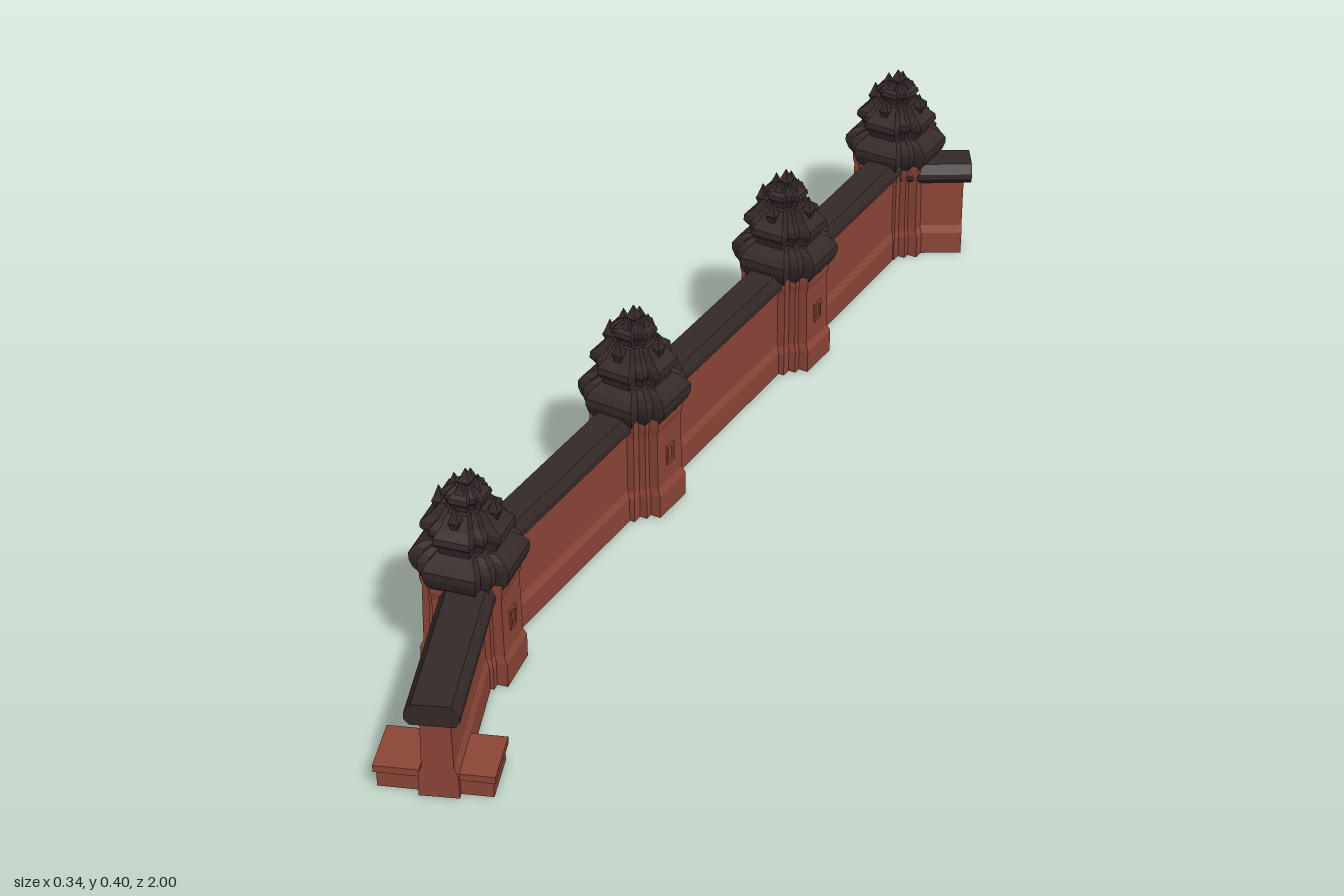
import * as THREE from 'three';

const brick = new THREE.MeshStandardMaterial({ color: 0x8c4537 });
brick.name = 'red brick';
const tile = new THREE.MeshStandardMaterial({ color: 0x352929 });
tile.name = 'dark roof tile';

function add(parent, name, geometry, material, x = 0, y = 0, z = 0) {
  const mesh = new THREE.Mesh(geometry, material);
  mesh.name = name;
  mesh.position.set(x, y, z);
  parent.add(mesh);
  return mesh;
}

// Stepped cross outline: arm reach a, arm half-width w, core half-width c
function crossPlan(a, w, c) {
  const quarter = [[a, w], [c, w], [c, c], [w, c], [w, a]];
  const pts = [];
  for (let q = 0; q < 4; q++) {
    for (const [x, z] of quarter) {
      pts.push([[x, z], [-z, x], [-x, -z], [z, -x]][q]);
    }
  }
  return pts;
}

// Stack of scaled outlines; levels are [y, scale]
function loft(plan, levels) {
  const v = [];
  const n = plan.length;
  const at = (i, [y, s]) => [plan[i % n][0] * s, y, plan[i % n][1] * s];
  const first = levels[0], last = levels[levels.length - 1];
  for (let i = 0; i < n; i++) {
    for (let k = 0; k < levels.length - 1; k++) {
      const a = at(i, levels[k]), b = at(i + 1, levels[k]);
      const c = at(i, levels[k + 1]), d = at(i + 1, levels[k + 1]);
      v.push(...a, ...c, ...b, ...b, ...c, ...d);
    }
    v.push(0, first[0], 0, ...at(i, first), ...at(i + 1, first));
    v.push(0, last[0], 0, ...at(i + 1, last), ...at(i, last));
  }
  const g = new THREE.BufferGeometry();
  g.setAttribute('position', new THREE.Float32BufferAttribute(v, 3));
  g.computeVertexNormals();
  return g;
}

// Symmetric profile of [half-width, y], run along z
function run(profile, length) {
  const right = profile.map(([x, y]) => new THREE.Vector2(x, y));
  const left = profile.map(([x, y]) => new THREE.Vector2(-x, y)).reverse();
  return new THREE.ExtrudeGeometry(new THREE.Shape([...right, ...left]),
    { depth: length, bevelEnabled: false });
}

// Wall with a flared foot and a tiled coping, from one plan point to another
function makeWall(name, [x0, z0], [x1, z1], top, roofHalf, overhang) {
  const wall = new THREE.Group();
  wall.name = name;
  const length = Math.hypot(x1 - x0, z1 - z0);
  wall.position.set(x0, 0, z0);
  wall.rotation.y = Math.atan2(x1 - x0, z1 - z0);
  add(wall, 'wallBody', run([[0.033, 0], [0.032, 0.045], [0.026, 0.06],
    [0.024, top - 0.02]], length), brick);
  add(wall, 'wallCoping', run([[roofHalf - 0.008, top - 0.04], [roofHalf, top - 0.03],
    [roofHalf, top - 0.018], [roofHalf * 0.72, top]], length + overhang), tile);
  return wall;
}

// Pointed roof ornament with a bulging foot
function spike(parent, x, y, z, r, h) {
  const square = [[1, 1], [-1, 1], [-1, -1], [1, -1]];
  add(parent, 'roofSpike', loft(square, [[0, r * 0.6], [h * 0.3, r * 0.65],
    [h * 0.5, r], [h * 0.62, r * 0.7], [h, 0.0005]]), tile, x, y, z);
}

function makeTower(x, z, angle, roofScale) {
  const tower = new THREE.Group();
  tower.name = 'gateTower';
  tower.position.set(x, 0, z);
  tower.rotation.y = angle;

  // Plinth and shaft
  add(tower, 'towerBody', loft(crossPlan(0.077, 0.044, 0.058), [[0, 1], [0.045, 1],
    [0.058, 0.93], [0.17, 0.9], [0.185, 0.94], [0.205, 0.94]]), brick);

  // Small framed windows on the two outer faces
  for (const s of [-1, 1]) {
    const frame = new THREE.Shape([[-0.012, -0.019], [0.012, -0.019], [0.012, 0.019],
      [-0.012, 0.019]].map(([a, b]) => new THREE.Vector2(a, b)));
    frame.holes.push(new THREE.Path([[-0.007, -0.013], [-0.007, 0.013], [0.007, 0.013],
      [0.007, -0.013]].map(([a, b]) => new THREE.Vector2(a, b))));
    const g = new THREE.ExtrudeGeometry(frame, { depth: 0.004, bevelEnabled: false });
    add(tower, 'windowFrame', g, brick, s * 0.0695, 0.112, 0).rotation.y = s * Math.PI / 2;
  }

  // Tiered roof
  const roof = new THREE.Group();
  roof.name = 'towerRoof';
  roof.position.y = 0.195;
  roof.scale.y = roofScale;
  tower.add(roof);
  add(roof, 'lowerTier', loft(crossPlan(0.087, 0.046, 0.065), [[0, 0.84], [0.012, 0.94],
    [0.028, 1], [0.042, 1], [0.054, 0.9], [0.064, 0.7]]), tile);
  add(roof, 'middleTier', loft(crossPlan(0.071, 0.032, 0.048), [[0.06, 0.8], [0.075, 0.84],
    [0.088, 1], [0.1, 0.98], [0.112, 0.78], [0.134, 0.55]]), tile);
  add(roof, 'upperTier', loft(crossPlan(0.038, 0.017, 0.027), [[0.125, 0.75], [0.142, 0.8],
    [0.152, 1], [0.16, 0.95], [0.172, 0.5]]), tile);
  spike(roof, 0, 0.155, 0, 0.011, 0.045);
  for (const [dx, dz] of [[1, 0], [-1, 0], [0, 1], [0, -1]]) {
    spike(roof, dx * 0.048, 0.1, dz * 0.048, 0.01, 0.056);
    spike(roof, dx * 0.02, 0.145, dz * 0.02, 0.009, 0.042);
  }
  return tower;
}

export function createModel() {
  const model = new THREE.Group();
  model.name = 'fortifiedWall';

  // Towers: x, z, turn, roof height scale
  const towers = [[-0.088, -0.91, 0, 0.93], [-0.075, -0.435, 0, 1],
    [-0.074, 0.107, 0, 1], [-0.055, 0.652, 0.2, 0.98]];
  for (const t of towers) model.add(makeTower(...t));

  // Long wall between the towers
  const joints = [[-0.08, -0.9], [-0.075, -0.435], [-0.073, 0.107], [-0.068, 0.64]];
  for (let i = 0; i < 3; i++) {
    model.add(makeWall('mainWall', joints[i], joints[i + 1], 0.215, 0.034, 0));
  }

  // Angled end walls
  model.add(makeWall('frontWing', [-0.045, 0.66], [0.085, 0.962], 0.2, 0.044, 0.021));
  model.add(makeWall('backWing', [-0.075, -0.885], [0.04, -0.956], 0.2, 0.039, 0.014));

  // Low stepped block across the foot of the front wing
  const block = new THREE.Group();
  block.name = 'footBlock';
  block.position.set(0.056, 0, 0.912);
  block.rotation.y = 0.38;
  add(block, 'blockBase', new THREE.BoxGeometry(0.188, 0.032, 0.09), brick, 0, 0.016, 0);
  add(block, 'blockCap', new THREE.BoxGeometry(0.197, 0.013, 0.1), brick, 0, 0.038, 0);
  model.add(block);

  return model;
}
